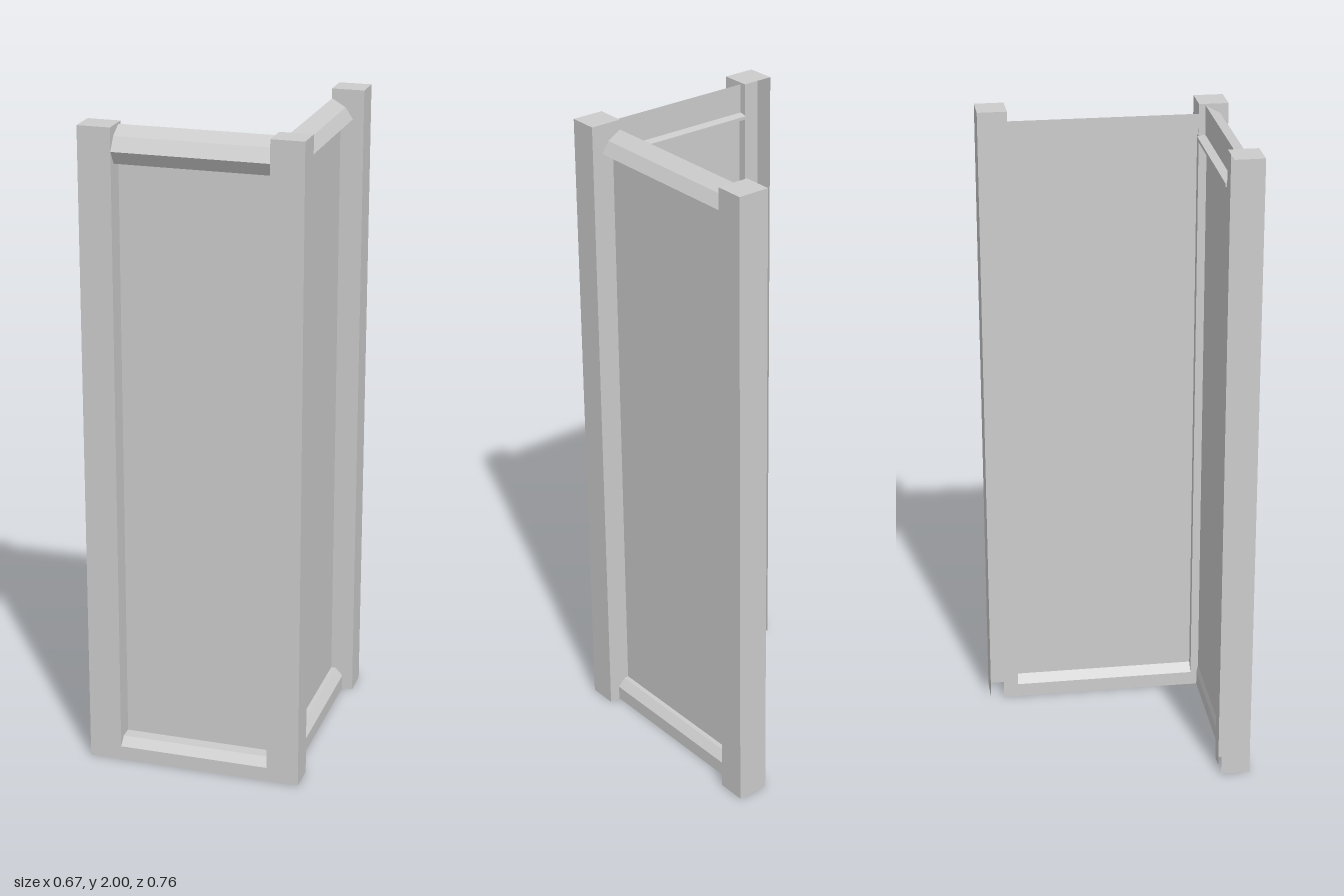
import * as THREE from 'three';

const material = new THREE.MeshStandardMaterial({ color: 0xcccccc, flatShading: true, side: THREE.DoubleSide });

// Upright sheet walls following a path of [x, z] points.
function wallGeometry(path, height) {
  const pos = [];
  for (let i = 0; i < path.length - 1; i++) {
    const [ax, az] = path[i];
    const [bx, bz] = path[i + 1];
    pos.push(ax, 0, az, bx, 0, bz, bx, height, bz);
    pos.push(ax, 0, az, bx, height, bz, ax, height, az);
  }
  const geometry = new THREE.BufferGeometry();
  geometry.setAttribute('position', new THREE.Float32BufferAttribute(pos, 3));
  geometry.computeVertexNormals();
  return geometry;
}

// Bar with a closed profile, running along z.
function barGeometry(profile, length) {
  const shape = new THREE.Shape(profile.map(([a, b]) => new THREE.Vector2(a, b)));
  return new THREE.ExtrudeGeometry(shape, { depth: length, bevelEnabled: false });
}

export function createModel() {
  const model = new THREE.Group();
  const add = (name, geometry, parent = model) => {
    const mesh = new THREE.Mesh(geometry, material);
    mesh.name = name;
    parent.add(mesh);
    return mesh;
  };

  const H = 2, outX = 0.334, inX = 0.234, outZ = 0.38, inZ = 0.29;

  // Hollow posts, open underneath; the end posts have a slot on the inner side
  const posts = {
    rightPost: [[-outX, inZ], [-outX, outZ], [-inX, outZ], [-inX, inZ], [-0.284, inZ]],
    cornerPost: [[inX, inZ], [inX, outZ], [outX, outZ], [outX, inZ], [inX, inZ]],
    backPost: [[inX, -outZ], [outX, -outZ], [outX, -inZ], [inX, -inZ], [inX, -0.337]],
  };
  for (const [name, path] of Object.entries(posts)) {
    const post = new THREE.Group();
    post.name = name;
    add('postWalls', wallGeometry(path, H), post);
    const cap = add('postCap', new THREE.PlaneGeometry(outX - inX, outZ - inZ).rotateX(-Math.PI / 2), post);
    const side = name === 'rightPost' ? -1 : 1;
    const depth = name === 'backPost' ? -1 : 1;
    cap.position.set(side * (outX + inX) / 2, H, depth * (outZ + inZ) / 2);
    model.add(post);
  }

  // Thin panels
  add('frontPanel', wallGeometry([[-inX, 0.315], [inX, 0.315]], 1.91)).position.y = 0.03;
  add('sidePanel', wallGeometry([[0.262, inZ], [0.262, -inZ]], 1.89)).position.y = 0.03;

  // Front rails: profiles are [z, y]
  const frontRails = {
    frontTopRail: [[0.31, 1.995], [0.355, 1.97], [0.38, 1.93], [0.355, 1.89], [0.285, 1.89], [0.285, 1.9], [0.31, 1.905]],
    frontBottomRail: [[0.31, 0], [0.31, 0.045], [0.315, 0.07], [0.355, 0.07], [0.38, 0.045], [0.38, 0]],
  };
  for (const [name, profile] of Object.entries(frontRails)) {
    add(name, barGeometry(profile, 2 * inX).rotateY(-Math.PI / 2)).position.x = inX;
  }

  // Side rails: profiles are [x, y]
  const sideRails = {
    sideTopRail: [[0.235, 1.97], [0.277, 1.945], [0.3, 1.91], [0.262, 1.905], [0.235, 1.905]],
    sideBottomRail: [[0.235, 0], [0.235, 0.045], [0.262, 0.07], [0.277, 0.07], [0.3, 0.045], [0.3, 0]],
  };
  for (const [name, profile] of Object.entries(sideRails)) {
    add(name, barGeometry(profile, 2 * inZ)).position.z = -inZ;
  }

  return model;
}
